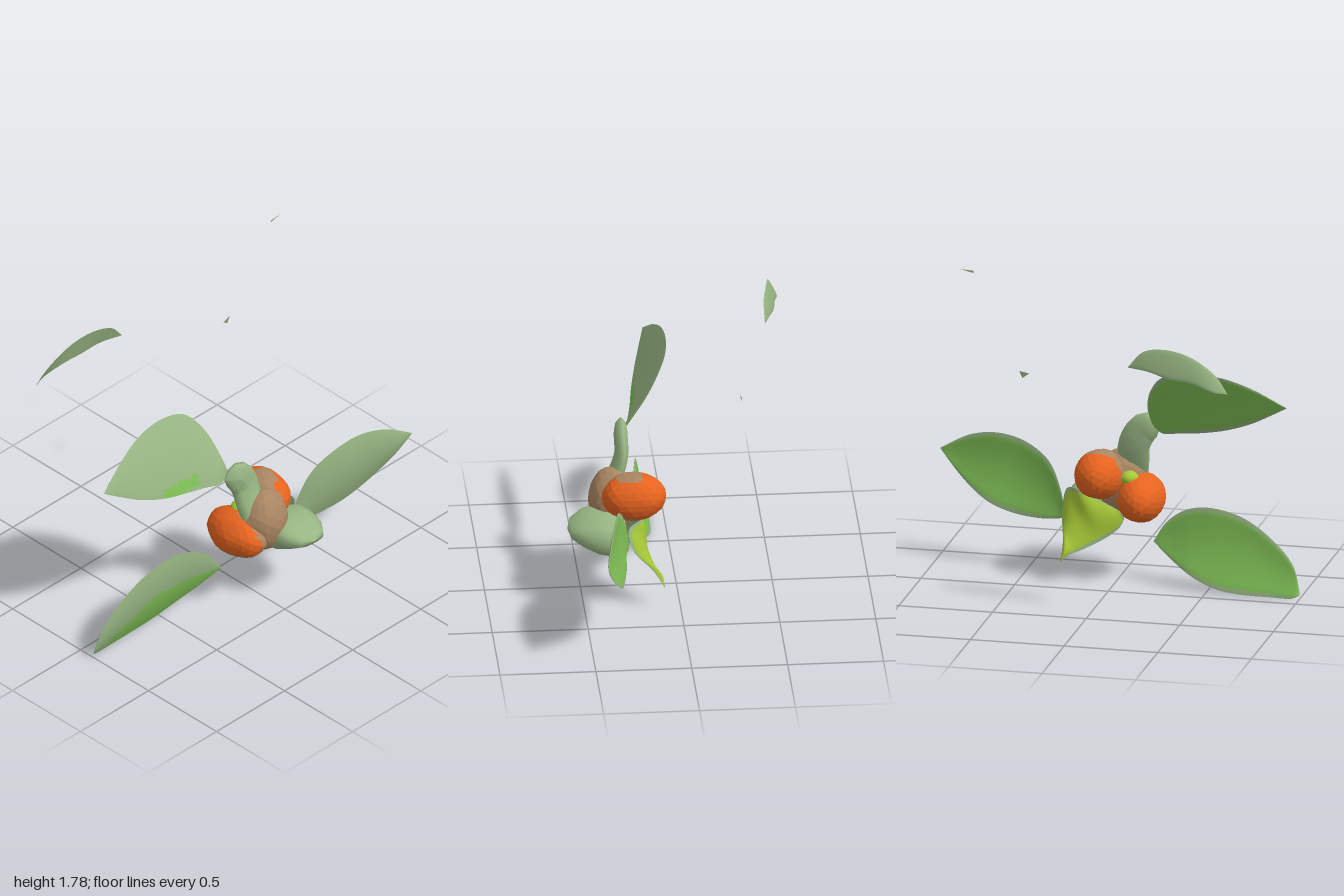
import * as THREE from 'three';

const mat = (name, color, options = {}) => {
  const m = new THREE.MeshStandardMaterial({ color, ...options });
  m.name = name;
  return m;
};
const sage = mat('sage', 0x97b582);
const green = mat('leafGreen', 0x80c056);
const lime = mat('limeGreen', 0xa6c836);
const orange = mat('orange', 0xe8641f, { flatShading: true });
const tan = mat('tan', 0xaa8662, { flatShading: true });
const sliver = mat('darkSage', 0x869a6c, { side: THREE.DoubleSide });

const curve = (pts) => new THREE.CatmullRomCurve3(pts.map((p) => new THREE.Vector3(...p)));

// Gives every triangle the first or second material, by its centre and number
function paint(name, geometry, mats, pick) {
  const g = geometry.index ? geometry.toNonIndexed() : geometry;
  const p = g.attributes.position;
  g.clearGroups();
  for (let i = 0; i < p.count; i += 3) {
    const c = new THREE.Vector3();
    for (let k = 0; k < 3; k++) c.add(new THREE.Vector3().fromBufferAttribute(p, i + k));
    g.addGroup(i, 3, pick(c.divideScalar(3), i / 3) ? 1 : 0);
  }
  const mesh = new THREE.Mesh(g, mats);
  mesh.name = name;
  return mesh;
}

// Leaf blade between an upper and a lower edge, both running left to right;
// the back swells by depth and keeps a pale rim
function leaf(name, upper, lower, { back = green, patch = () => false, bulge = 0, depth = 0.02 }) {
  const U = 32, V = 16, a = curve(upper), b = curve(lower);
  const make = (thick, flip) => {
    const pos = [], idx = [];
    for (let i = 0; i <= U; i++) {
      const s = a.getPoint(i / U), e = b.getPoint(i / U);
      for (let j = 0; j <= V; j++) {
        const v = j / V, q = s.clone().lerp(e, v);
        const belly = Math.max(0, 4 * v * (1 - v) * Math.sin((Math.PI * i) / U));
        q.z += belly * bulge - Math.sqrt(belly) * thick;
        pos.push(q.x, q.y, q.z);
      }
    }
    for (let i = 0; i < U; i++)
      for (let j = 0; j < V; j++) {
        const k = i * (V + 1) + j, n = k + V + 1;
        if (flip) idx.push(k, n + 1, k + 1, k, n, n + 1);
        else idx.push(k, k + 1, n + 1, k, n + 1, n);
      }
    const g = new THREE.BufferGeometry();
    g.setAttribute('position', new THREE.Float32BufferAttribute(pos, 3));
    g.setIndex(idx);
    g.computeVertexNormals();
    return g;
  };
  const rim = (c, t) => {
    const cell = Math.floor(t / 2), i = Math.floor(cell / V), j = cell % V;
    return i < 1 || i >= U - 1 || j < 1 || j >= V - 1;
  };
  const group = new THREE.Group();
  group.name = name;
  group.add(paint(name + 'Front', make(0, false), [sage, green], patch));
  group.add(paint(name + 'Back', make(depth, true), [back, sage], rim));
  return group;
}

// Faceted, slightly uneven ball
function lump(name, centre, radii, mats, pick = () => false) {
  const g = new THREE.IcosahedronGeometry(1, 3);
  const p = g.attributes.position;
  for (let i = 0; i < p.count; i++) {
    const v = new THREE.Vector3().fromBufferAttribute(p, i);
    const w = 1 + 0.025 * Math.sin(v.x * 5 + v.y * 3) * Math.cos(v.z * 5 - v.y * 2);
    p.setXYZ(i, centre[0] + v.x * w * radii[0], centre[1] + v.y * w * radii[1], centre[2] + v.z * w * radii[2]);
  }
  g.computeVertexNormals();
  return paint(name, g, mats, pick);
}

export function createModel() {
  const model = new THREE.Group();
  model.name = 'berrySprig';

  // Large leaves
  model.add(leaf('upperLeaf',
    [[-0.93, 1.03, 0.1], [-0.76, 1.13, 0.06], [-0.6, 1.19, 0.03], [-0.42, 1.205, 0.02], [-0.28, 1.17, 0.04], [-0.2, 1.07, 0.1], [-0.17, 0.96, 0.17], [-0.17, 0.86, 0.25]],
    [[-0.93, 1.03, 0.1], [-0.83, 0.97, 0.13], [-0.72, 0.91, 0.16], [-0.57, 0.855, 0.19], [-0.42, 0.825, 0.21], [-0.31, 0.81, 0.23], [-0.23, 0.8, 0.25], [-0.18, 0.83, 0.26]],
    { bulge: 0.02, patch: (c) => c.y < 0.895 && c.x > -0.57 && c.x < -0.34 && c.y > 0.835 }));
  model.add(leaf('lowerLeaf',
    [[-1, 0.03, 0.1], [-0.96, 0.17, 0.12], [-0.84, 0.3, 0.14], [-0.68, 0.4, 0.16], [-0.5, 0.435, 0.18], [-0.37, 0.41, 0.2], [-0.26, 0.33, 0.22], [-0.19, 0.22, 0.22]],
    [[-1, 0.02, 0.09], [-0.96, 0.003, 0.08], [-0.85, 0.003, 0.08], [-0.7, 0.005, 0.08], [-0.56, 0.02, 0.09], [-0.42, 0.07, 0.12], [-0.3, 0.14, 0.17], [-0.19, 0.22, 0.22]],
    { bulge: 0.035, patch: (c) => c.x > -0.9 && c.y > 0.012 && c.y < 0.235 - 0.55 * Math.max(0, -0.6 - c.x) }));
  model.add(leaf('sideLeaf',
    [[0.3, 0.36, 0.27], [0.32, 0.45, 0.28], [0.39, 0.59, 0.31], [0.52, 0.675, 0.345], [0.67, 0.705, 0.37], [0.82, 0.68, 0.4], [0.92, 0.63, 0.42], [1, 0.58, 0.435]],
    [[0.3, 0.29, 0.3], [0.37, 0.282, 0.29], [0.47, 0.28, 0.3], [0.6, 0.295, 0.32], [0.72, 0.335, 0.34], [0.82, 0.4, 0.37], [0.91, 0.48, 0.405], [1, 0.58, 0.435]],
    { bulge: 0.035 }));

  // Loose leaf and slivers
  model.add(leaf('looseLeaf',
    [[-0.77, 1.29, -0.56], [-0.7, 1.38, -0.54], [-0.56, 1.465, -0.52], [-0.42, 1.49, -0.5], [-0.3, 1.465, -0.48], [-0.22, 1.38, -0.48]],
    [[-0.77, 1.29, -0.56], [-0.7, 1.3, -0.58], [-0.57, 1.335, -0.56], [-0.45, 1.345, -0.545], [-0.34, 1.37, -0.52], [-0.22, 1.375, -0.48]],
    { back: sage, depth: 0.008 }));
  for (const [name, a, b, c] of [
    ['longSliver', [0.655, 1.762, -0.262], [0.66, 1.774, -0.26], [0.73, 1.778, -0.26]],
    ['smallSliver', [0.35, 1.25, -0.305], [0.385, 1.225, -0.31], [0.403, 1.262, -0.308]],
  ]) {
    const g = new THREE.BufferGeometry();
    g.setAttribute('position', new THREE.Float32BufferAttribute([...a, ...b, ...c], 3));
    g.computeVertexNormals();
    const m = new THREE.Mesh(g, sliver);
    m.name = name;
    model.add(m);
  }

  // Berries, with a dull front skin
  const skin = [orange, tan];
  model.add(lump('leftBerry', [0.1, 0.563, 0.23], [0.13, 0.128, 0.17], skin,
    (c) => c.z > 0.2 && (c.x < 0.09 || c.y > 0.67 || c.y < 0.47)));
  model.add(lump('rightBerry', [-0.115, 0.44, 0.265], [0.125, 0.127, 0.185], skin,
    (c) => c.z > 0.25 && (c.x > -0.125 || c.y < 0.37)));
  model.add(lump('berryBridge', [0, 0.5, 0.335], [0.14, 0.18, 0.125], [tan, tan]));
  model.add(lump('innerBud', [-0.06, 0.55, 0.23], [0.05, 0.04, 0.05], [lime, lime]));

  // Flattened curved stem
  const path = curve([[-0.215, 0.83, 0.27], [-0.125, 0.81, 0.28], [-0.075, 0.73, 0.28], [-0.065, 0.65, 0.3], [-0.05, 0.56, 0.34]]);
  const stemGeo = new THREE.TubeGeometry(path, 12, 0.086, 10, false);
  const sp = stemGeo.attributes.position;
  for (let i = 0; i <= 12; i++) {
    const c = path.getPointAt(i / 12), w = [0, 0.7, 0.95][i] ?? 1;
    for (let j = 0; j <= 10; j++) {
      const k = i * 11 + j;
      sp.setXYZ(k, c.x + (sp.getX(k) - c.x) * w, c.y + (sp.getY(k) - c.y) * w, c.z + (sp.getZ(k) - c.z) * w * 0.42);
    }
  }
  stemGeo.computeVertexNormals();
  const stem = new THREE.Mesh(stemGeo, sage);
  stem.name = 'stem';
  model.add(stem);

  // Cup below the berries: squarish rings shrinking towards the front
  const cupPos = [], cupIdx = [], N = 16;
  const rings = [[0.28, 0.14, 0.385, 0.13, 0.08], [0.34, 0.14, 0.39, 0.165, 0.1], [0.42, 0.14, 0.4, 0.16, 0.095],
    [0.5, 0.14, 0.41, 0.135, 0.065], [0.56, 0.14, 0.41, 0.085, 0.03], [0.58, 0.14, 0.41, 0, 0]];
  const sq = (t) => Math.sign(t) * Math.pow(Math.abs(t), 0.75);
  rings.forEach(([z, x, y, rx, ry], r) => {
    for (let j = 0; j < N; j++) {
      const t = (j / N) * Math.PI * 2, k = r * N + j, n = r * N + ((j + 1) % N);
      cupPos.push(x + rx * sq(Math.cos(t)), y + ry * sq(Math.sin(t)) - 0.12 * rx * Math.cos(t), z);
      if (r < rings.length - 1) cupIdx.push(k, n, n + N, k, n + N, k + N);
    }
  });
  for (let j = 1; j < N - 1; j++) cupIdx.push(0, j + 1, j);
  const cupGeo = new THREE.BufferGeometry();
  cupGeo.setAttribute('position', new THREE.Float32BufferAttribute(cupPos, 3));
  cupGeo.setIndex(cupIdx);
  cupGeo.computeVertexNormals();
  model.add(paint('cup', cupGeo, [sage, lime], (c) => c.z < 0.3));

  // Short leaf behind the cup, swelling backwards, its upper side rising to the cup rim
  model.add(leaf('hangingLeaf',
    [[-0.02, 0.35, 0.26], [0.08, 0.42, 0.21], [0.2, 0.475, 0.2], [0.285, 0.46, 0.27], [0.305, 0.35, 0.25], [0.275, 0.21, 0.14], [0.275, 0.11, 0.08]],
    [[-0.02, 0.31, 0.28], [0.0, 0.27, 0.26], [0.05, 0.23, 0.22], [0.12, 0.195, 0.17], [0.19, 0.165, 0.13], [0.24, 0.15, 0.1], [0.275, 0.11, 0.08]],
    { back: lime, bulge: -0.045, depth: 0.004 }));

  return model;
}
